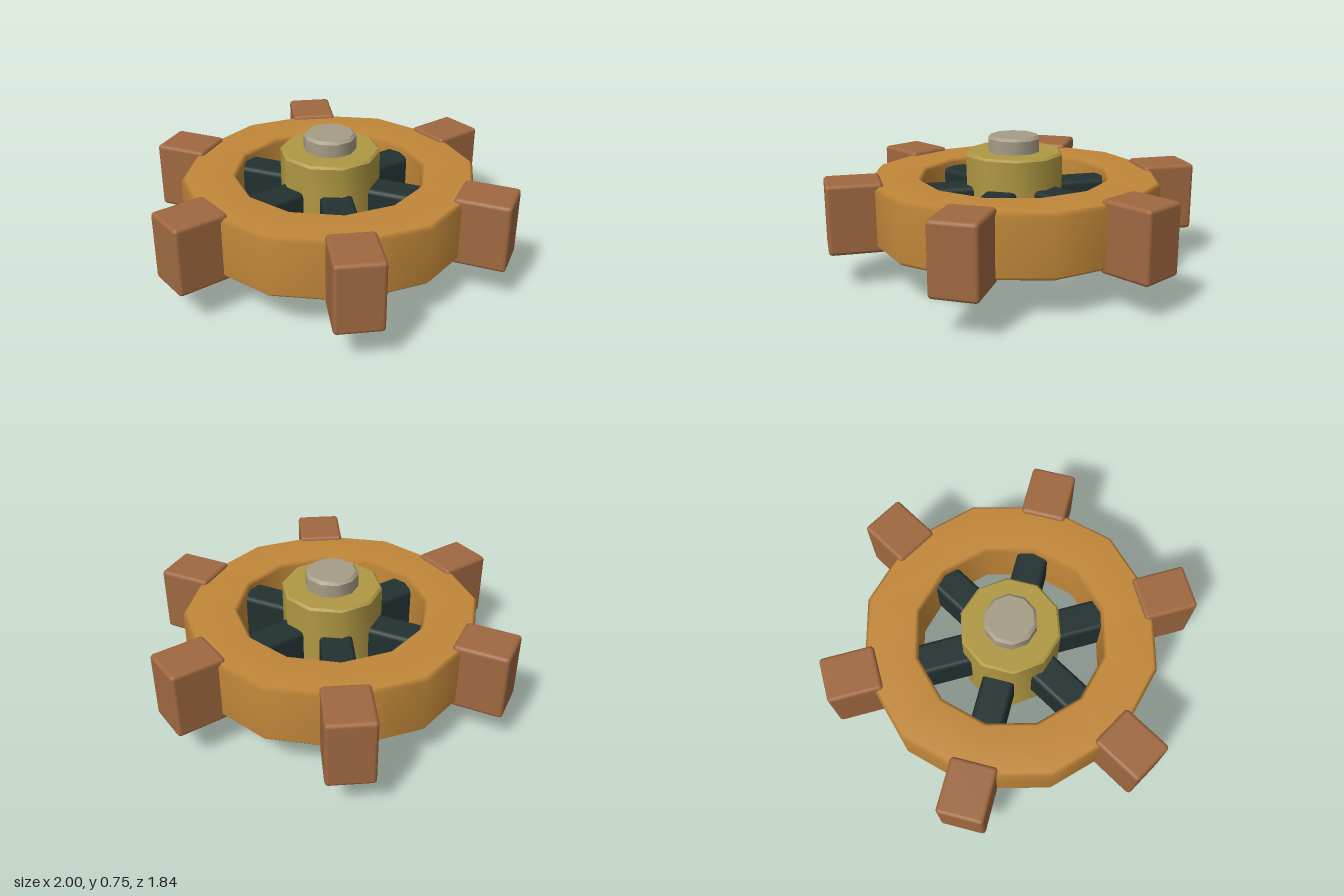
import * as THREE from 'three';
import { toCreasedNormals } from 'three/addons/utils/BufferGeometryUtils.js';
import { RoundedBoxGeometry } from 'three/addons/geometries/RoundedBoxGeometry.js';

const MID_Y = 0.378;

function material(name, color) {
  const m = new THREE.MeshStandardMaterial({ color });
  m.name = name;
  return m;
}

function lathe(points, sides) {
  return new THREE.LatheGeometry(points.map(([r, y]) => new THREE.Vector2(r, y)), sides);
}

// Solid faceted drum with chamfered rims, standing from y0 to y1
function drum(radius, y0, y1, bevel, sides) {
  const g = lathe([
    [0, y0], [radius - bevel, y0], [radius, y0 + bevel],
    [radius, y1 - bevel], [radius - bevel, y1], [0, y1],
  ], sides);
  return toCreasedNormals(g, 0.7);
}

// Closed twelve-sided ring with softened edges
function ringGeometry(inner, outer, half, b) {
  return lathe([
    [inner, -half + b], [inner + b, -half], [outer - b, -half], [outer, -half + b],
    [outer, half - b], [outer - b, half], [inner + b, half], [inner, half - b],
    [inner, -half + b],
  ], 12);
}

export function createModel() {
  const group = new THREE.Group();
  group.name = 'spokedWheel';

  const rimWood = material('rim wood', 0xc28739);
  const gripWood = material('grip wood', 0x9f6840);
  const brass = material('hub brass', 0xb09843);
  const steel = material('axle steel', 0xa79d87);
  const darkIron = material('spoke iron', 0x223130);

  function add(name, geometry, mat, parent = group) {
    const mesh = new THREE.Mesh(geometry, mat);
    mesh.name = name;
    parent.add(mesh);
    return mesh;
  }

  // Rim, hub and axle share the vertical axis
  add('rim', ringGeometry(0.5, 0.787, 0.165, 0.02), rimWood).position.y = MID_Y;
  add('hub', drum(0.265, 0.085, 0.67, 0.012, 10), brass);
  add('axle', drum(0.14, 0, 0.755, 0.015, 10), steel);

  // Six spokes, each with a grip block outside the rim
  const spokeGeometry = new RoundedBoxGeometry(0.4, 0.25, 0.17, 2, 0.025);
  const gripGeometry = new RoundedBoxGeometry(0.29, 0.37, 0.245, 2, 0.02);
  for (let i = 0; i < 6; i++) {
    const arm = new THREE.Group();
    arm.name = 'arm' + (i + 1);
    arm.position.y = MID_Y;
    arm.rotation.y = i * Math.PI / 3;
    add('spoke', spokeGeometry, darkIron, arm).position.x = 0.36;
    add('grip', gripGeometry, gripWood, arm).position.x = 0.855;
    group.add(arm);
  }

  return group;
}
